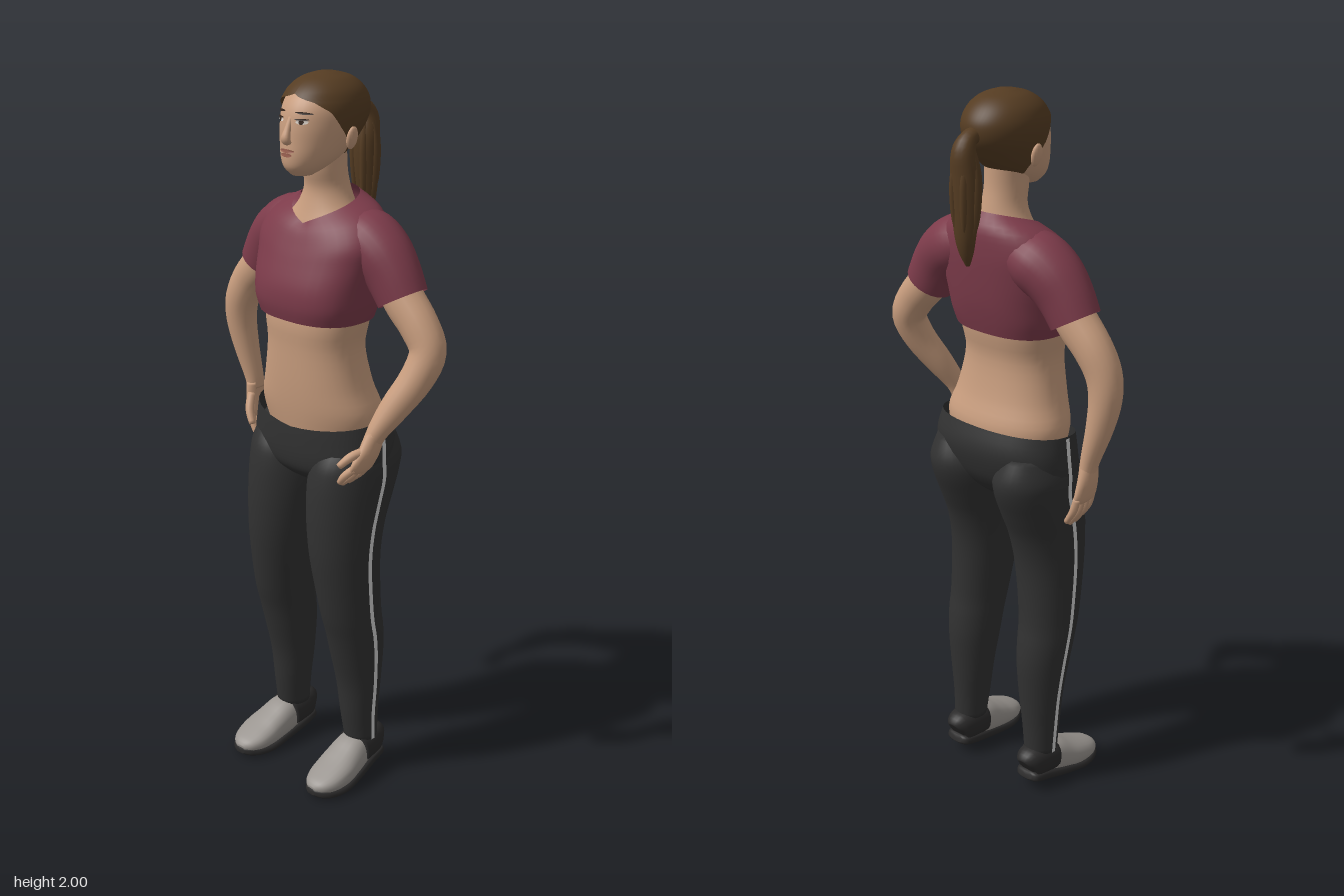
import * as THREE from 'three';

const mat = (name, color, double) => {
  const m = new THREE.MeshStandardMaterial({ color });
  m.name = name;
  if (double) m.side = THREE.DoubleSide;
  return m;
};
const SKIN = mat('skin', 0xc89d7e), HAIR = mat('hair', 0x553c22, true), SHIRT = mat('shirt', 0x7c3b4a, true),
  PANTS = mat('leggings', 0x313131, true), SHOE = mat('shoeUpper', 0x99948f), SOLE = mat('shoeSole', 0x2b2a2a),
  STRIPE = mat('stripe', 0xd2d2d2, true), LIP = mat('lips', 0x9c6252), EYE = mat('eyeWhite', 0xd9d0c6), DARK = mat('browAndIris', 0x35241a);

// Catmull-Rom subdivision of number rows (all of one length), column by column
function smooth(rows, k = 4) {
  const out = [], at = i => rows[Math.min(rows.length - 1, Math.max(0, i))];
  for (let i = 0; i < rows.length - 1; i++)
    for (let s = 0; s < k; s++) {
      const t = s / k;
      out.push(at(i).map((b, c) => {
        const a = at(i - 1)[c], d = at(i + 1)[c], e = at(i + 2)[c];
        return b + 0.5 * t * (d - a + t * (2 * a - 5 * b + 4 * d - e + t * (3 * (b - d) + e - a)));
      }));
    }
  out.push(at(rows.length - 1));
  return out;
}

// Surface through rings of points; closed rings wrap round, caps fill the ends
function loft(rings, closed = true, capStart = closed, capEnd = closed) {
  const n = rings[0].length, pos = rings.flat().flatMap(p => [p.x, p.y, p.z]), idx = [];
  const cols = closed ? n : n - 1;
  for (let i = 0; i < rings.length - 1; i++)
    for (let j = 0; j < cols; j++) {
      const a = i * n + j, b = i * n + (j + 1) % n;
      idx.push(a, b, b + n, a, b + n, a + n);
    }
  const cap = (i, flip) => {
    const c = new THREE.Vector3();
    rings[i].forEach(p => c.addScaledVector(p, 1 / n));
    const k = pos.length / 3;
    pos.push(c.x, c.y, c.z);
    for (let j = 0; j < n; j++) {
      const a = i * n + j, b = i * n + (j + 1) % n;
      idx.push(...(flip ? [b, a, k] : [a, b, k]));
    }
  };
  if (capStart) cap(0, true);
  if (capEnd) cap(rings.length - 1, false);
  const g = new THREE.BufferGeometry();
  g.setAttribute('position', new THREE.Float32BufferAttribute(pos, 3));
  g.setIndex(idx);
  g.computeVertexNormals();
  return g;
}

const pw = (v, n) => Math.sign(v) * Math.pow(Math.abs(v), 2 / n);
// Horizontal ring from [y, x0, x1, zFront, zBack, roundness, lift]; angle 0 is the front
function ringPoint([y, x0, x1, zf, zb, n = 2, lift = 0], t, s = 1, grow = 0) {
  return new THREE.Vector3(s * (x0 + x1) / 2 + ((x1 - x0) / 2 + grow) * pw(Math.sin(t), n),
    y + lift * Math.abs(Math.sin(t / 2)), (zf + zb) / 2 + ((zf - zb) / 2 + grow) * pw(Math.cos(t), n));
}
const N = 36;
const body = (rows, s, c0, c1) => loft(smooth(rows).map(r =>
  Array.from({ length: N }, (_, j) => ringPoint(r, j / N * Math.PI * 2, s))), true, c0, c1);

// Tube along [x, y, z, halfWidth, halfDepth]; depth points along ref
function sweep(points, { ref = [0, 0, 1], n = 2, seg = 18, caps = true } = {}) {
  const rows = smooth(points), P = rows.map(r => new THREE.Vector3(r[0], r[1], r[2]));
  return loft(rows.map((r, i) => {
    const T = P[Math.min(i + 1, P.length - 1)].clone().sub(P[Math.max(i - 1, 0)]).normalize();
    const F = new THREE.Vector3(...ref);
    F.addScaledVector(T, -F.dot(T)).normalize();
    const B = T.clone().cross(F);
    return Array.from({ length: seg }, (_, j) => {
      const t = j / seg * Math.PI * 2;
      return P[i].clone().addScaledVector(B, r[3] * pw(Math.sin(t), n)).addScaledVector(F, r[4] * pw(Math.cos(t), n));
    });
  }), true, caps, caps);
}

const HEAD = [
  [1.752, -.026, .026, .1, .04], [1.772, -.05, .05, .12, -.01], [1.8, -.07, .07, .125, -.06], [1.84, -.085, .085, .122, -.1],
  [1.88, -.094, .094, .118, -.128], [1.92, -.094, .094, .108, -.132], [1.955, -.08, .08, .084, -.112],
  [1.98, -.052, .052, .048, -.078], [1.992, -.018, .018, .005, -.035]];
const HEADROWS = smooth(HEAD, 6);
// Depth of the face surface at x, y
function faceZ(x, y) {
  const r = HEADROWS.reduce((a, b) => Math.abs(b[0] - y) < Math.abs(a[0] - y) ? b : a);
  return (r[3] + r[4]) / 2 + (r[3] - r[4]) / 2 * Math.sqrt(Math.max(0, 1 - (x / r[2]) ** 2));
}
// Thin oval laid on the face
function facePatch(x, y, w, h, off, turn = 0) {
  const g = new THREE.CircleGeometry(1, 16).scale(w, h, 1).rotateZ(turn).translate(x, y, 0), p = g.attributes.position;
  for (let i = 0; i < p.count; i++) p.setZ(i, faceZ(p.getX(i), p.getY(i)) + off);
  g.computeVertexNormals();
  return g;
}
// Hairline angle from the front at height y
const LINE = [[1.775, 2.5], [1.79, 2.15], [1.83, 1.72], [1.87, 1.32], [1.91, 1.02], [1.932, .65], [1.948, 0]];
function hairline(y) {
  if (y <= LINE[0][0]) return LINE[0][1];
  for (let i = 1; i < LINE.length; i++)
    if (y < LINE[i][0]) return THREE.MathUtils.mapLinear(y, LINE[i - 1][0], LINE[i][0], LINE[i - 1][1], LINE[i][1]);
  return 0;
}

export function createModel() {
  const model = new THREE.Group();
  const add = (name, g, m, parent = model) => {
    const mesh = new THREE.Mesh(g, m);
    mesh.name = name;
    parent.add(mesh);
  };

  // Torso with neck
  add('torso', body([
    [1.04, -.17, .17, .1, -.11, 2], [1.12, -.189, .189, .113, -.119, 2.2], [1.2, -.163, .163, .12, -.095, 2.3],
    [1.3, -.143, .143, .123, -.08, 2.3], [1.38, -.152, .152, .125, -.092, 2.3], [1.5, -.16, .16, .1, -.1, 2],
    [1.6, -.14, .14, .07, -.1, 2], [1.66, -.085, .085, .05, -.09, 2], [1.71, -.06, .06, .04, -.08, 2],
    [1.76, -.055, .055, .05, -.072, 2], [1.82, -.055, .055, .05, -.07, 2]]), SKIN);

  // Cropped shirt, open at hem and V neck
  add('shirt', body([
    [1.38, -.16, .16, .138, -.1, 2.5, 0], [1.42, -.17, .17, .146, -.11, 2.6, 0], [1.47, -.178, .178, .143, -.12, 2.5, 0],
    [1.53, -.19, .19, .122, -.128, 2.4, .01], [1.57, -.195, .195, .105, -.132, 2.3, .035],
    [1.605, -.16, .16, .088, -.128, 2.1, .06], [1.625, -.09, .09, .07, -.1, 2, .078]], 1, false, false), SHIRT);

  // Leggings: hips, then legs
  add('hips', body([
    [.905, -.07, .07, .05, -.06, 2, 0], [.93, -.15, .15, .09, -.09, 2, 0], [.96, -.2, .2, .116, -.115, 2.2, 0],
    [1.0, -.217, .217, .124, -.135, 2.3, 0], [1.05, -.214, .214, .124, -.148, 2.3, .015],
    [1.08, -.203, .203, .122, -.131, 2.3, .045]], 1, true, false), PANTS);
  const LEG = [
    [.115, .092, .185, .03, -.07], [.2, .083, .188, .042, -.073], [.3, .07, .196, .052, -.08], [.4, .06, .205, .075, -.086],
    [.47, .056, .21, .092, -.082], [.55, .05, .211, .113, -.072], [.7, .03, .212, .136, -.072], [.8, .017, .215, .141, -.09],
    [.88, .008, .219, .139, -.122], [.95, .006, .221, .132, -.15], [1.0, .015, .218, .118, -.155], [1.06, .05, .195, .08, -.13]];
  const stripe = smooth([...LEG.slice(0, 10).map(r => [r[0], r[2], (r[3] + r[4]) / 2]), [1.0, .221, -.008], [1.05, .217, -.01], [1.11, .207, -.006]]);

  for (const s of [1, -1]) {
    const side = s > 0 ? 'left' : 'right';
    add(side + 'Leg', body(LEG, s), PANTS);
    add(side + 'Stripe', loft(stripe.map(([y, x, z]) =>
      [.007, -.007].map(d => new THREE.Vector3(s * (x + .003), y, z + s * d))), false), STRIPE);

    // Shoe: pale upper, dark heel and sole
    const up = { ref: [0, 1, 0], n: 2.4, seg: 24 };
    add(side + 'ShoeUpper', sweep([
      [s * .14, .08, -.015, .045, .05], [s * .142, .073, .02, .052, .052], [s * .146, .06, .06, .057, .045], [s * .15, .048, .1, .06, .038],
      [s * .15, .038, .145, .055, .029], [s * .148, .031, .178, .038, .021], [s * .147, .027, .193, .015, .01]], up), SHOE);
    add(side + 'ShoeHeel', sweep([
      [s * .139, .075, -.086, .022, .03], [s * .139, .08, -.075, .04, .047], [s * .139, .084, -.04, .049, .05], [s * .141, .08, .012, .053, .05]], up), SOLE);
    add(side + 'ShoeSole', sweep([
      [s * .139, .05, -.088, .022, .01], [s * .139, .046, -.074, .042, .016], [s * .14, .036, -.02, .05, .018], [s * .146, .023, .05, .058, .017],
      [s * .15, .015, .11, .063, .015], [s * .15, .016, .155, .055, .015], [s * .148, .02, .183, .036, .014], [s * .147, .022, .197, .014, .008]],
      { ...up, n: 3 }), SOLE);

    // Sleeve and arm; the left forearm comes forward, the right one hangs
    add(side + 'Sleeve', sweep([
      [s * .07, 1.605, -.04, .065, .075], [s * .13, 1.585, -.038, .08, .088], [s * .18, 1.555, -.036, .079, .082],
      [s * .22, 1.51, -.035, .075, .071], [s * .253, 1.455, -.035, .07, .064]], { caps: false, seg: 24 }), SHIRT);
    const upper = [[s * .2, 1.53, -.035, .05, .05], [s * .255, 1.455, -.035, .056, .053], [s * .31, 1.395, -.035, .053, .05], [s * .343, 1.335, -.032, .049, .047]];
    add(side + 'Arm', sweep([...upper, ...(s > 0
      ? [[.33, 1.265, -.005, .045, .043], [.295, 1.19, .035, .039, .037], [.27, 1.13, .068, .028, .03], [.262, 1.1, .08, .022, .029]]
      : [[-.353, 1.27, -.035, .044, .043], [-.343, 1.19, -.042, .036, .037], [-.322, 1.1, -.05, .025, .029], [-.317, 1.065, -.052, .021, .029]])]), SKIN);

    // Hand: palm, four fingers and thumb
    const hand = new THREE.Group();
    hand.name = side + 'Hand';
    model.add(hand);
    const palm = s > 0
      ? [[.265, 1.12, .075, .022, .028], [.26, 1.075, .092, .021, .036], [.248, 1.035, .108, .016, .042], [.24, 1.02, .112, .01, .036]]
      : [[-.318, 1.085, -.05, .021, .028], [-.317, 1.04, -.053, .02, .036], [-.31, .995, -.055, .016, .042], [-.306, .98, -.055, .01, .036]];
    add('palm', sweep(palm), SKIN, hand);
    const finger = (name, a, b, c, r) => add(name, sweep([[...a, r, r], [...b, r, r], [...c, r * .75, r * .75]], { seg: 10 }), SKIN, hand);
    [.012, 0, .002, .016].forEach((d, i) => {
      if (s > 0) finger('finger', [.248, 1.035, .077 + i * .02], [.228, 1.005 + d / 2, .078 + i * .024], [.196 + d, .975 + d, .074 + i * .026], .0105);
      else finger('finger', [-.31, .995, -.086 + i * .02], [-.298, .95 + d / 2, -.087 + i * .021], [-.268 - d / 2, .905 + d, -.084 + i * .02], .0105);
    });
    if (s > 0) finger('thumb', [.258, 1.08, .11], [.245, 1.07, .145], [.225, 1.045, .168], .012);
    else finger('thumb', [-.313, 1.05, -.03], [-.298, 1.01, -.008], [-.277, .975, .002], .012);

    // Ear, eye and brow
    add(side + 'Ear', new THREE.SphereGeometry(1, 14, 10).scale(.01, .03, .018).rotateZ(-s * .2).translate(s * .097, 1.845, -.008), SKIN);
    add(side + 'Eye', facePatch(s * .036, 1.891, .015, .006, .002), EYE);
    add(side + 'Iris', facePatch(s * .036, 1.891, .006, .006, .0035), DARK);
    add(side + 'Lash', facePatch(s * .036, 1.897, .017, .0025, .004), DARK);
    add(side + 'Brow', facePatch(s * .038, 1.912, .021, .003, .003, -s * .08), DARK);
  }

  // Head, nose and mouth
  add('head', body(HEAD), SKIN);
  add('nose', sweep([[0, 1.898, .108, .007, .008], [0, 1.87, .121, .009, .009], [0, 1.848, .129, .013, .011],
    [0, 1.838, .122, .013, .008]], { seg: 14 }), SKIN);
  add('upperLip', facePatch(0, 1.818, .024, .005, .004), LIP);
  add('lowerLip', facePatch(0, 1.808, .019, .005, .005), LIP);

  // Hair shell trimmed along the hairline
  const scalp = HEADROWS.filter(r => r[0] > 1.772).map(r => {
    const a = hairline(r[0]);
    return Array.from({ length: 49 }, (_, j) => {
      const p = ringPoint(r, a + (2 * Math.PI - 2 * a) * j / 48, 1, .007);
      p.y += .005;
      return p;
    });
  });
  scalp.push(Array.from({ length: 49 }, () => new THREE.Vector3(0, 2, -.015)));
  add('hair', loft(scalp, false), HAIR);

  // Ponytail with a few loose locks
  add('ponytail', sweep([[0, 1.9, -.12, .022, .022], [0, 1.895, -.15, .022, .024], [0, 1.865, -.168, .03, .032], [0, 1.81, -.163, .036, .04],
    [0, 1.74, -.163, .034, .038], [0, 1.66, -.166, .026, .03], [0, 1.61, -.163, .017, .02], [0, 1.575, -.158, .005, .006]],
    { ref: [1, 0, 0] }), HAIR);
  for (let i = 0; i < 6; i++) {
    const a = i / 6 * Math.PI * 2, c = Math.cos(a), d = Math.sin(a);
    add('lock', sweep([[c * .02, 1.88, -.16 + d * .012, .006, .006], [c * .034, 1.8, -.162 + d * .03, .01, .01],
      [c * .03, 1.7, -.163 + d * .027, .009, .009], [c * .015, 1.6 + .02 * (i % 3), -.161 + d * .015, .003, .003]], { ref: [1, 0, 0], seg: 8 }), HAIR);
  }
  return model;
}
